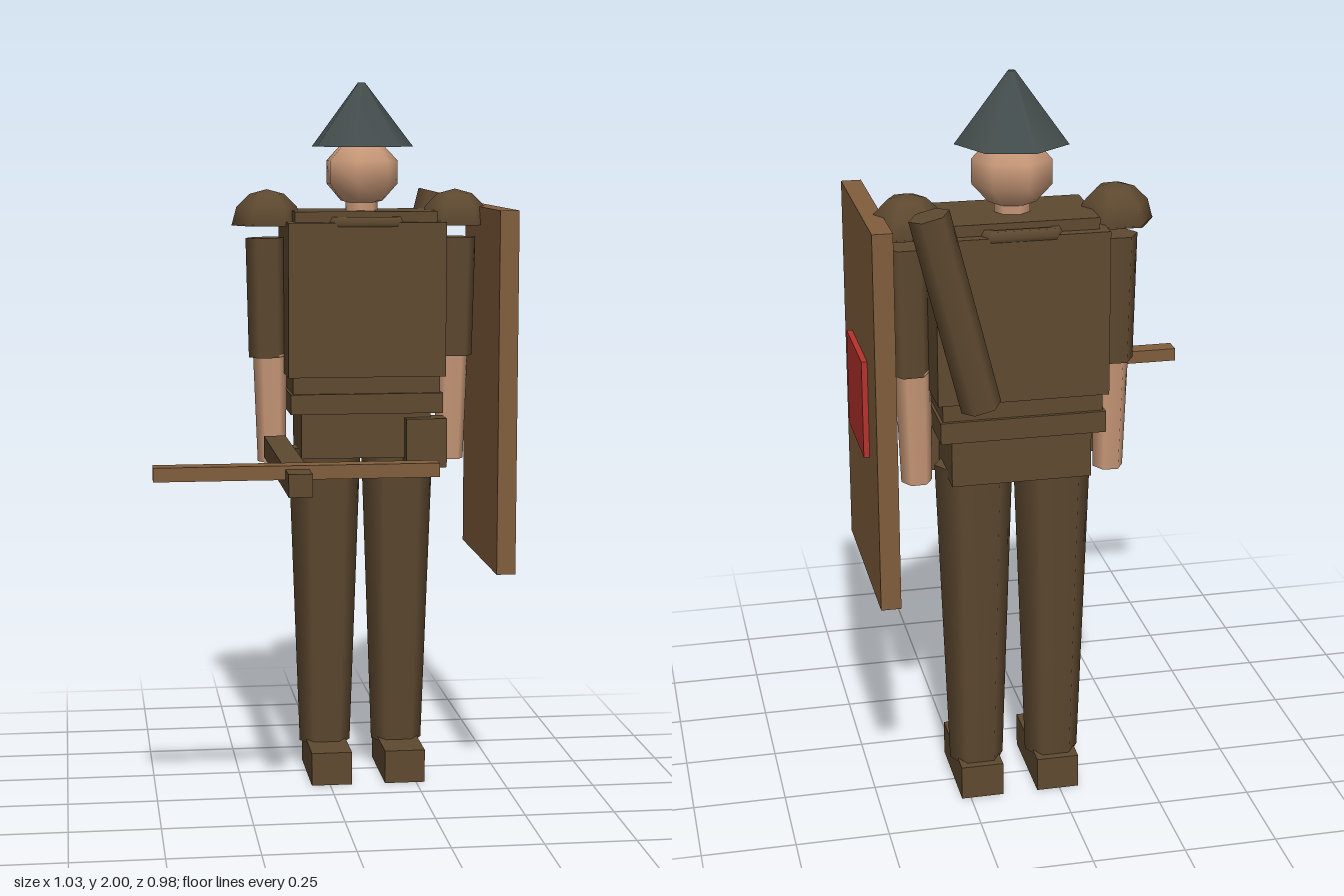
import * as THREE from 'three';

export function createModel() {
  const model = new THREE.Group();
  model.name = 'guard';

  const material = (name, color) => {
    const m = new THREE.MeshStandardMaterial({ color });
    m.name = name;
    return m;
  };
  const leather = material('dark leather', 0x5e4930);
  const wood = material('wood', 0x805d3c);
  const skin = material('skin', 0xc89878);
  const steel = material('dark steel', 0x434c4c);
  const red = material('red paint', 0xb5322c);

  // Centre line of the body
  const CX = 0.111, CZ = -0.275;

  const add = (name, geometry, mat, x = 0, y = 0, z = 0) => {
    const mesh = new THREE.Mesh(geometry, mat);
    mesh.name = name;
    mesh.position.set(x, y, z);
    model.add(mesh);
    return mesh;
  };

  // Box given by its limits on each axis
  const box = (name, mat, [x0, x1], [y0, y1], [z0, z1]) =>
    add(name, new THREE.BoxGeometry(x1 - x0, y1 - y0, z1 - z0), mat,
      (x0 + x1) / 2, (y0 + y1) / 2, (z0 + z1) / 2);

  // Box centred on the body
  const slab = (name, width, depth, y0, y1) =>
    box(name, leather, [CX - width / 2, CX + width / 2], [y0, y1],
      [CZ - depth / 2, CZ + depth / 2]);

  // Tapered prism from a lower to an upper point, with a corner towards +x
  const limb = (name, mat, low, high, rLow, rHigh, sides = 6) => {
    const a = new THREE.Vector3(...low), b = new THREE.Vector3(...high);
    const dir = b.clone().sub(a);
    const geometry = new THREE.CylinderGeometry(rHigh, rLow, dir.length(), sides);
    geometry.rotateY(Math.PI / 2);
    const mid = a.add(b).multiplyScalar(0.5);
    const mesh = add(name, geometry, mat, mid.x, mid.y, mid.z);
    mesh.quaternion.setFromUnitVectors(new THREE.Vector3(0, 1, 0), dir.normalize());
    return mesh;
  };

  // Head, neck and pointed hat
  limb('neck', skin, [CX, 1.62, CZ], [CX, 1.7, CZ], 0.047, 0.047, 7);
  const headProfile = [[0, 1.65], [0.062, 1.667], [0.105, 1.715], [0.105, 1.78],
    [0.062, 1.825], [0, 1.84]].map(([r, y]) => new THREE.Vector2(r, y));
  const head = new THREE.LatheGeometry(headProfile, 7);
  head.rotateY(Math.PI / 2);
  add('head', head, skin, CX, 0, CZ);
  limb('hat', steel, [CX, 1.82, CZ], [CX, 2, CZ], 0.149, 0.01, 7);

  // Torso, collar and belts
  slab('yoke', 0.405, 0.232, 1.6, 1.64);
  slab('chest', 0.448, 0.29, 1.175, 1.61);
  const collar = new THREE.TorusGeometry(0.153, 0.02, 6, 6);
  collar.rotateX(Math.PI / 2);
  add('collar', collar, leather, CX, 1.608, CZ);
  slab('waist', 0.42, 0.26, 1.127, 1.175);
  slab('belt', 0.435, 0.28, 1.07, 1.127);
  slab('hips', 0.37, 0.23, 0.94, 1.07);
  box('pouch', leather, [0.222, 0.338], [0.915, 1.055], [-0.2, -0.122]);

  // Limbs, mirrored about the centre line
  for (const side of [-1, 1]) {
    const label = side > 0 ? 'left' : 'right';
    const x = (offset) => CX + side * offset;
    limb(label + 'Leg', leather, [x(0.106), 0.085, CZ], [x(0.106), 0.96, CZ], 0.074, 0.105);
    box(label + 'Boot', leather, [x(0.106) - 0.058, x(0.106) + 0.058], [0, 0.095], [-0.362, -0.093]);
    limb(label + 'UpperArm', leather, [x(0.27), 1.222, CZ], [x(0.276), 1.563, CZ], 0.054, 0.056);
    limb(label + 'Forearm', skin, [x(0.259), 0.92, CZ], [x(0.264), 1.23, CZ], 0.041, 0.048);
    // Domed shoulder guard with a closed underside
    const dome = new THREE.SphereGeometry(0.1, 6, 3, 0, Math.PI * 2, 0, Math.PI / 2);
    add(label + 'ShoulderGuard', dome, leather, x(0.271), 1.6, CZ);
    limb(label + 'ShoulderGuardBase', leather, [x(0.271), 1.598, CZ], [x(0.271), 1.602, CZ], 0.1, 0.1);
  }

  // Crossbow in the right hand
  box('crossbowStock', leather, [-0.176, -0.114], [0.94, 1.0], [-0.22, 0.492]);
  box('crossbowBow', wood, [-0.517, 0.228], [0.973, 1.01], [0.357, 0.41]);

  // Tall shield on the left side
  box('shield', wood, [0.447, 0.5], [0.64, 1.65], [-0.458, 0.076]);
  box('shieldPanel', red, [0.5, 0.515], [1.015, 1.277], [-0.322, -0.058]);

  // Leaning quiver on the back
  limb('quiver', leather, [0.228, 1.175, -0.443], [0.355, 1.685, -0.443], 0.053, 0.053);

  return model;
}
